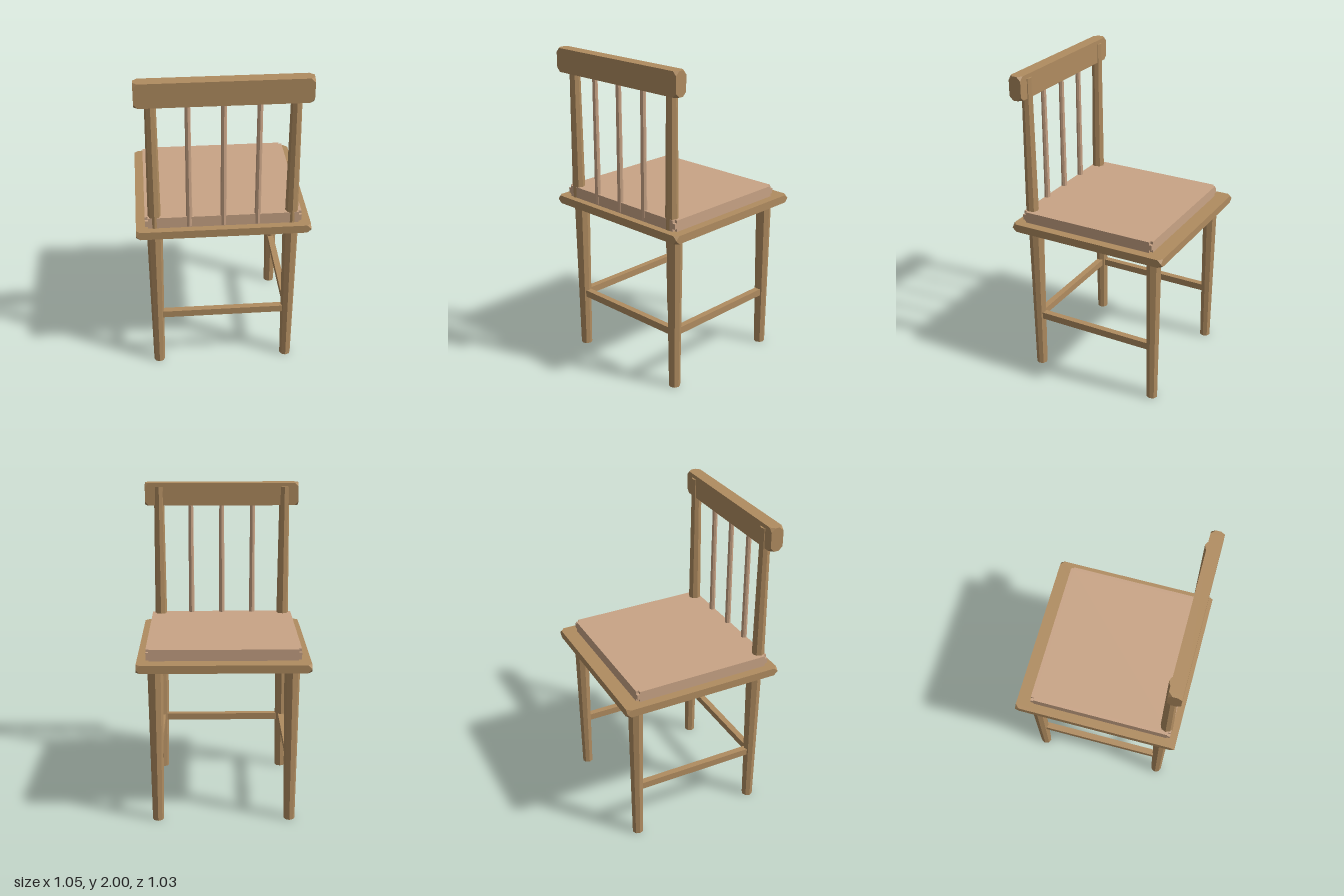
import * as THREE from 'three';
import { ConvexGeometry } from 'three/addons/geometries/ConvexGeometry.js';

const SIGNS = [-1, 1];

// Box whose eight corners are cut off by a flat triangle
function cutCornerBox(w, h, d, cut) {
  const points = [];
  for (const x of SIGNS) for (const y of SIGNS) for (const z of SIGNS) {
    const corner = new THREE.Vector3(x * w / 2, y * h / 2, z * d / 2);
    points.push(
      corner.clone().sub(new THREE.Vector3(x * cut, 0, 0)),
      corner.clone().sub(new THREE.Vector3(0, y * Math.min(cut, h * 0.49), 0)),
      corner.clone().sub(new THREE.Vector3(0, 0, z * cut)),
    );
  }
  return new ConvexGeometry(points);
}

// Horizontal slab with a square notch in each corner
function notchedSlab(w, d, h, n) {
  const a = w / 2, b = d / 2;
  const outline = [
    [-a + n, -b], [a - n, -b], [a - n, -b + n], [a, -b + n],
    [a, b - n], [a - n, b - n], [a - n, b], [-a + n, b],
    [-a + n, b - n], [-a, b - n], [-a, -b + n], [-a + n, -b + n],
  ].map(([x, y]) => new THREE.Vector2(x, y));
  return new THREE.ExtrudeGeometry(new THREE.Shape(outline), { depth: h, bevelEnabled: false })
    .rotateX(-Math.PI / 2).translate(0, -h / 2, 0);
}

export function createModel() {
  const chair = new THREE.Group();
  chair.name = 'chair';
  const wood = new THREE.MeshStandardMaterial({ color: 0xb08c60, flatShading: true });
  wood.name = 'wood';
  const paleWood = new THREE.MeshStandardMaterial({ color: 0xc9a486, flatShading: true });
  paleWood.name = 'pale wood';

  const add = (name, geometry, material, x, y, z) => {
    const mesh = new THREE.Mesh(geometry, material);
    mesh.name = name;
    mesh.position.set(x, y, z);
    chair.add(mesh);
  };

  // Seat frame and backrest rail
  add('seatFrame', cutCornerBox(1.05, 0.05, 1.03, 0.025), wood, 0, 1.025, 0);
  add('backRail', cutCornerBox(1.01, 0.147, 0.08, 0.025), wood, 0, 1.9265, 0.458);

  // Cushion: full middle layer between two notched layers
  const notch = 0.018;
  add('cushionMiddle', new THREE.BoxGeometry(0.94, 0.034, 0.895), paleWood, 0, 1.085, 0.0225);
  for (const y of [1.059, 1.111])
    add('cushionLayer', notchedSlab(0.94, 0.895, notch, notch), paleWood, 0, y, 0.0225);

  // Tapered legs and back posts
  const leg = new THREE.CylinderGeometry(0.048, 0.035, 1.01, 8);
  const post = new THREE.CylinderGeometry(0.032, 0.04, 0.935, 8);
  for (const x of SIGNS) {
    for (const z of SIGNS) add('leg', leg, wood, x * 0.413, 0.505, z * 0.413);
    add('backPost', post, wood, x * 0.413, 1.5075, 0.436);
  }

  // Thin backrest spindles
  const spindle = new THREE.CylinderGeometry(0.016, 0.019, 0.84, 8);
  for (const x of [-0.205, 0, 0.205]) add('spindle', spindle, paleWood, x, 1.475, 0.458);

  // Stretchers on both sides and under the backrest
  const sideBar = new THREE.BoxGeometry(0.04, 0.045, 0.8);
  for (const x of SIGNS) add('sideStretcher', sideBar, wood, x * 0.413, 0.372, 0);
  add('backStretcher', new THREE.BoxGeometry(0.8, 0.045, 0.04), wood, 0, 0.372, 0.413);

  return chair;
}
